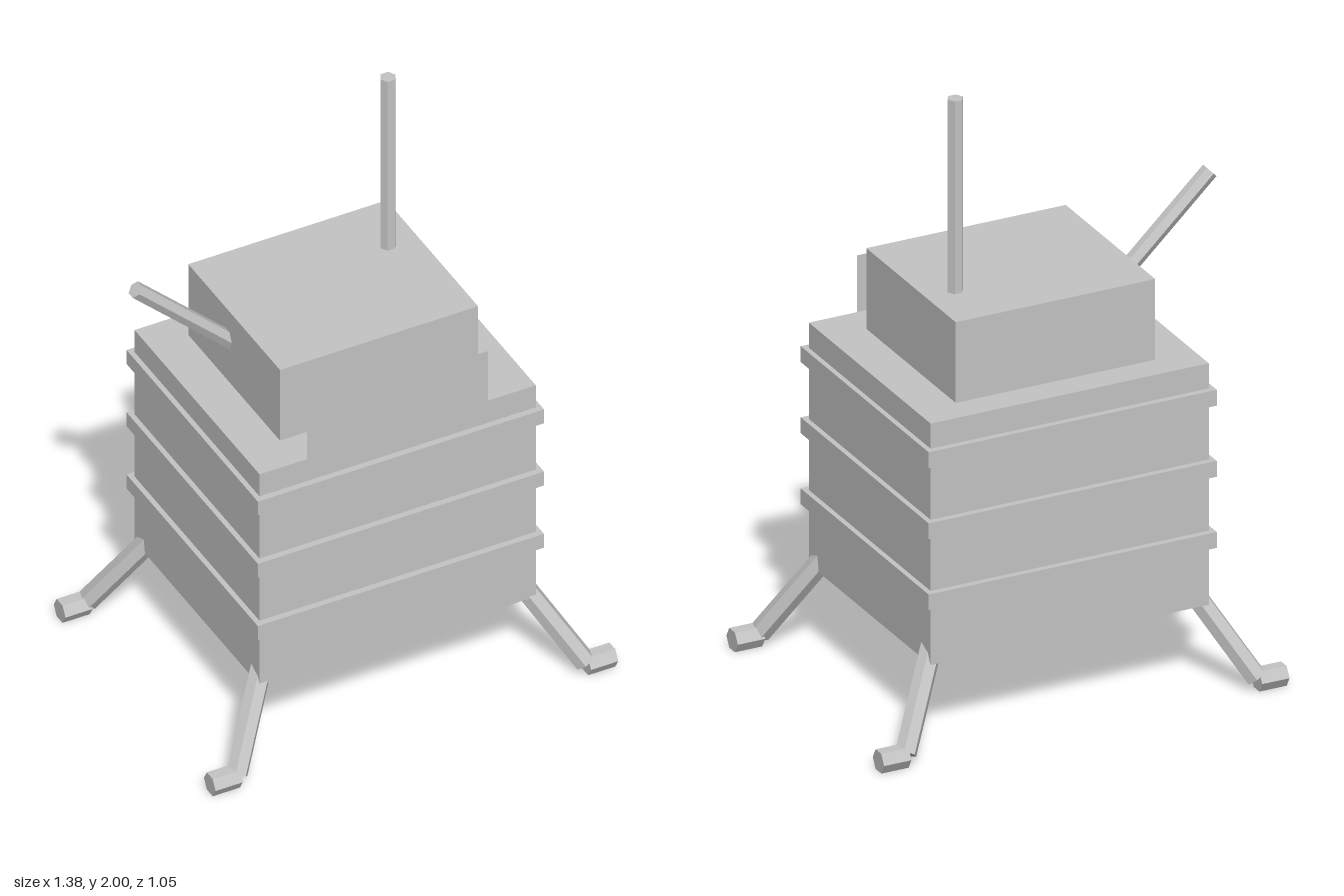
import * as THREE from 'three';

const grey = new THREE.MeshStandardMaterial({ color: 0xc4c4c4 });
grey.name = 'plain grey';
grey.flatShading = true;
const greySheet = grey.clone();
greySheet.side = THREE.DoubleSide;

export function createModel() {
  const model = new THREE.Group();
  model.name = 'boxOnLegs';

  // box given by its low and high corners
  function box(name, [x0, y0, z0], [x1, y1, z1]) {
    const mesh = new THREE.Mesh(new THREE.BoxGeometry(x1 - x0, y1 - y0, z1 - z0), grey);
    mesh.position.set((x0 + x1) / 2, (y0 + y1) / 2, (z0 + z1) / 2);
    mesh.name = name;
    model.add(mesh);
  }

  // six-sided rod between two points
  function rod(name, from, to, radius, twist = 0) {
    const a = new THREE.Vector3(...from), b = new THREE.Vector3(...to);
    const dir = b.clone().sub(a);
    const geometry = new THREE.CylinderGeometry(radius, radius, dir.length(), 6).rotateY(twist);
    const mesh = new THREE.Mesh(geometry, grey);
    mesh.position.copy(a).add(b).multiplyScalar(0.5);
    mesh.quaternion.setFromUnitVectors(new THREE.Vector3(0, 1, 0), dir.normalize());
    mesh.name = name;
    model.add(mesh);
  }

  // body, upper block and the bands around the body
  box('body', [-0.475, 0.277, -0.408], [0.472, 1.085, 0.403]);
  box('head', [-0.342, 1.085, -0.311], [0.337, 1.355, 0.284]);
  for (const y of [0.472, 0.71, 0.948]) {
    box('band', [-0.492, y, -0.428], [0.489, y + 0.053, 0.424]);
  }

  // thin panel rising flush from the front of the body
  const panel = new THREE.Mesh(new THREE.PlaneGeometry(0.62, 0.19), greySheet);
  panel.position.set(-0.002, 1.18, 0.403);
  panel.name = 'frontPanel';
  model.add(panel);

  // upright pole and slanted lever
  rod('pole', [0.236, 1.34, -0.11], [0.236, 2, -0.11], 0.026, Math.PI / 6);
  rod('lever', [-0.3, 1.205, -0.056], [-0.658, 1.545, -0.056], 0.027);

  // splayed legs with feet pointing sideways
  for (const sx of [-1, 1]) {
    for (const sz of [-1, 1]) {
      rod('leg', [sx * 0.43, 0.335, sz * 0.345], [sx * 0.597, 0.04, sz * 0.487], 0.035);
      rod('foot', [sx * 0.597, 0.034, sz * 0.487], [sx * 0.69, 0.034, sz * 0.487], 0.038);
    }
  }

  return model;
}
